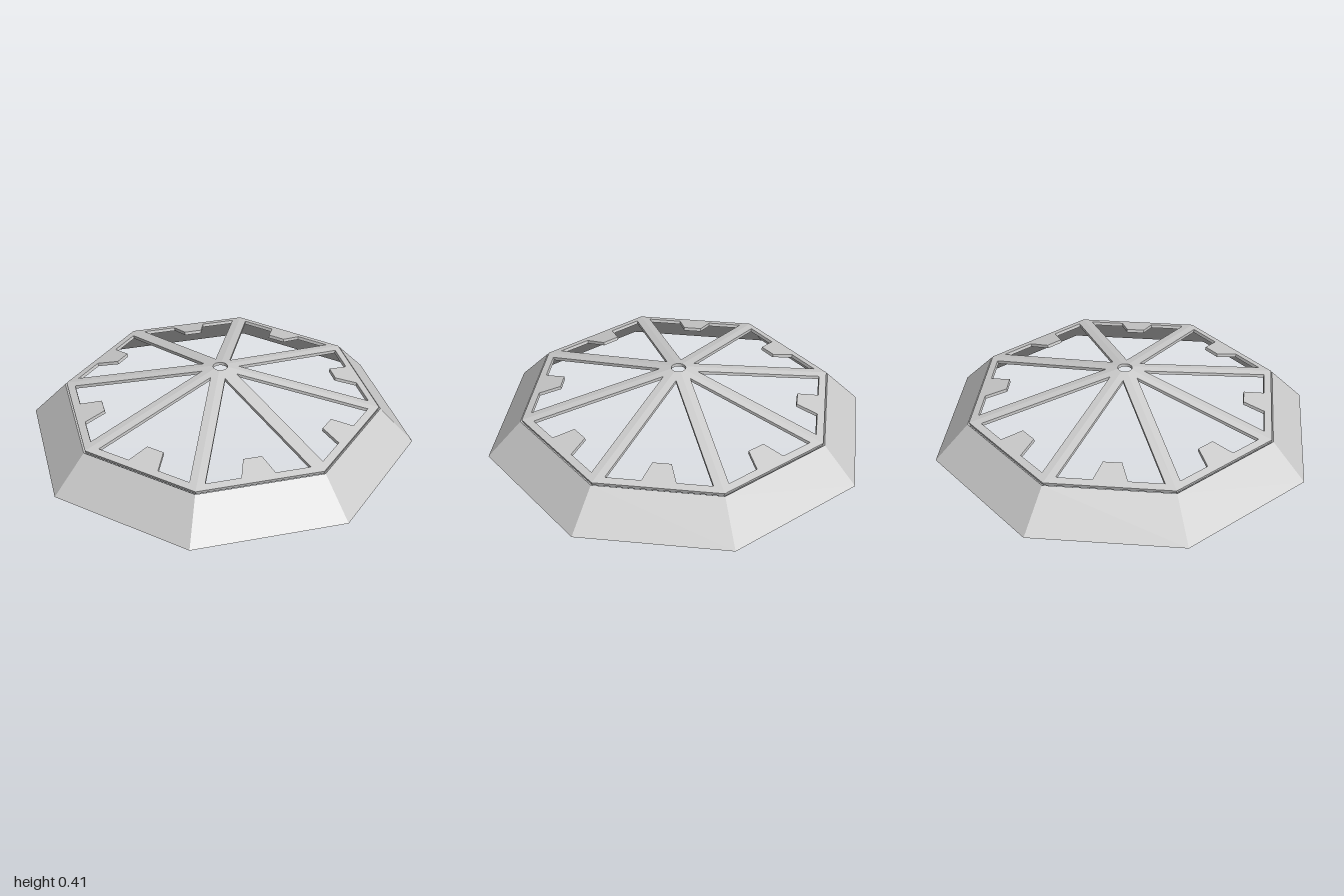
import * as THREE from 'three';

const SIDES = 8;
const HALF = Math.PI / SIDES;
const T = Math.tan(HALF);

// Sloping ring wall: a closed plate section turned around eight sides
function skirtGeometry() {
  const section = [[1, 0.012], [0.823, 0.212], [0.808, 0.2], [0.985, 0], [1, 0.012]];
  const points = section.map(([a, y]) => new THREE.Vector2(a / Math.cos(HALF), y));
  const geo = new THREE.LatheGeometry(points, SIDES, HALF).toNonIndexed();
  geo.computeVertexNormals();
  return geo;
}

// One of eight roof sectors: rim, two half ribs and a tab around an opening
function roofPanelGeometry() {
  const rim = 0.815, inner = 0.775, ribHalf = 0.04, eye = 0.04;
  const shape = new THREE.Shape();
  shape.moveTo(rim * T, rim);
  shape.lineTo(-rim * T, rim);
  shape.absarc(0, 0, eye, Math.PI / 2 + HALF, Math.PI / 2 - HALF, true);
  shape.closePath();

  const w = inner * T - ribHalf / Math.cos(HALF);
  const opening = [
    [0, ribHalf / Math.sin(HALF)], [w, inner], [0.09, inner], [0.05, 0.66],
    [-0.05, 0.66], [-0.09, inner], [-w, inner],
  ].map(([x, y]) => new THREE.Vector2(x, y));
  shape.holes.push(new THREE.Path(opening));

  const geo = new THREE.ExtrudeGeometry(shape, { depth: 1, bevelEnabled: false, curveSegments: 4 });
  // Lay the plate on the roof slope, with the underside drawn in slightly
  const slope = 0.242, edgeHeight = 0.222, thickness = 0.018;
  const p = geo.attributes.position;
  for (let i = 0; i < p.count; i++) {
    const x = p.getX(i), a = p.getY(i), top = p.getZ(i) > 0.5;
    const k = top ? 1 : 0.994;
    const y = edgeHeight + (rim - a) * slope - (top ? 0 : thickness);
    p.setXYZ(i, x * k, y, -a * k);
  }
  geo.computeVertexNormals();
  return geo;
}

export function createModel() {
  const model = new THREE.Group();
  model.name = 'octagonalRoofFrame';
  const grey = new THREE.MeshStandardMaterial({ color: 0xcccccc });
  grey.name = 'light grey';

  const skirt = new THREE.Mesh(skirtGeometry(), grey);
  skirt.name = 'skirt';
  model.add(skirt);

  const roof = new THREE.Group();
  roof.name = 'roof';
  const panelGeo = roofPanelGeometry();
  for (let i = 0; i < SIDES; i++) {
    const panel = new THREE.Mesh(panelGeo, grey);
    panel.name = 'roofPanel' + (i + 1);
    panel.rotation.y = i * 2 * HALF;
    roof.add(panel);
  }
  model.add(roof);
  return model;
}
